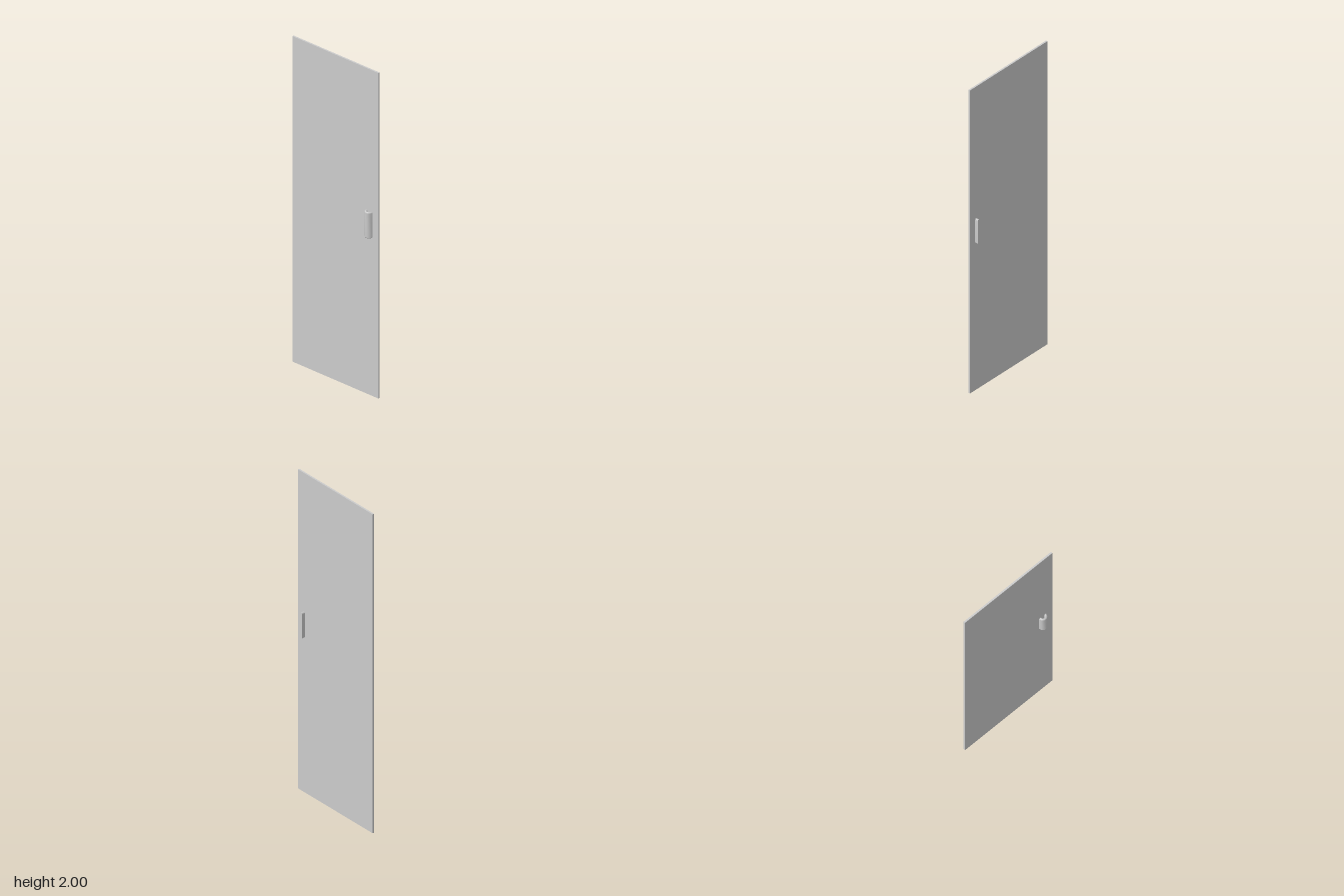
import * as THREE from 'three';

const material = new THREE.MeshStandardMaterial({ color: 0xcccccc });

// Tall, narrow section of the handle bar (u across, v up)
const section = [
  [0.0078, -0.073], [0.0078, 0.073], [0.0035, 0.08], [-0.0035, 0.08],
  [-0.0078, 0.073], [-0.0078, -0.073], [-0.0035, -0.08], [0.0035, -0.08],
];

// Sweeps the section along stations { x, z, nx, nz } in the ground plane
function sweep(stations) {
  const positions = [], index = [], n = section.length;
  for (const s of stations) {
    for (const [u, v] of section) positions.push(s.x + s.nx * u, v, s.z + s.nz * u);
  }
  for (let i = 0; i < stations.length - 1; i++) {
    for (let j = 0; j < n; j++) {
      const k = (j + 1) % n;
      const a = i * n + j, b = i * n + k, c = b + n, d = a + n;
      index.push(a, b, c, a, c, d);
    }
  }
  const geometry = new THREE.BufferGeometry();
  geometry.setAttribute('position', new THREE.Float32BufferAttribute(positions, 3));
  geometry.setIndex(index);
  geometry.computeVertexNormals();
  return geometry;
}

export function createModel() {
  const model = new THREE.Group();
  model.name = 'door';
  const add = (name, geometry, parent = model) => {
    const mesh = new THREE.Mesh(geometry, material);
    mesh.name = name;
    parent.add(mesh);
    return mesh;
  };

  // Door leaf
  add('doorPanel', new THREE.BoxGeometry(0.617, 2, 0.01)).position.set(0, 1, -0.005);

  // Handle, gathered around its own centre
  const handle = new THREE.Group();
  handle.name = 'handle';
  handle.position.set(0.241, 1.05, 0);
  model.add(handle);

  const radius = 0.0182, back = -0.029, steps = 5;

  // Front grip: half ring hooked back to the panel
  const arc = [];
  for (let i = 0; i <= steps; i++) {
    const a = (i / steps) * Math.PI;
    const nx = Math.cos(a), nz = Math.sin(a);
    arc.push({ x: radius * nx, z: radius * nz, nx, nz });
  }
  add('frontGrip', sweep(arc), handle);

  // Back stub: straight bar passing through the panel
  add('backStub', sweep([
    { x: radius, z: back, nx: 1, nz: 0 },
    { x: radius, z: 0, nx: 1, nz: 0 },
  ]), handle);

  // Flat end of the stub
  const outline = new THREE.Shape(section.map(([u, v]) => new THREE.Vector2(u, v)));
  const cap = add('stubEnd', new THREE.ShapeGeometry(outline), handle);
  cap.rotation.y = Math.PI;
  cap.position.set(radius, 0, back);

  return model;
}
